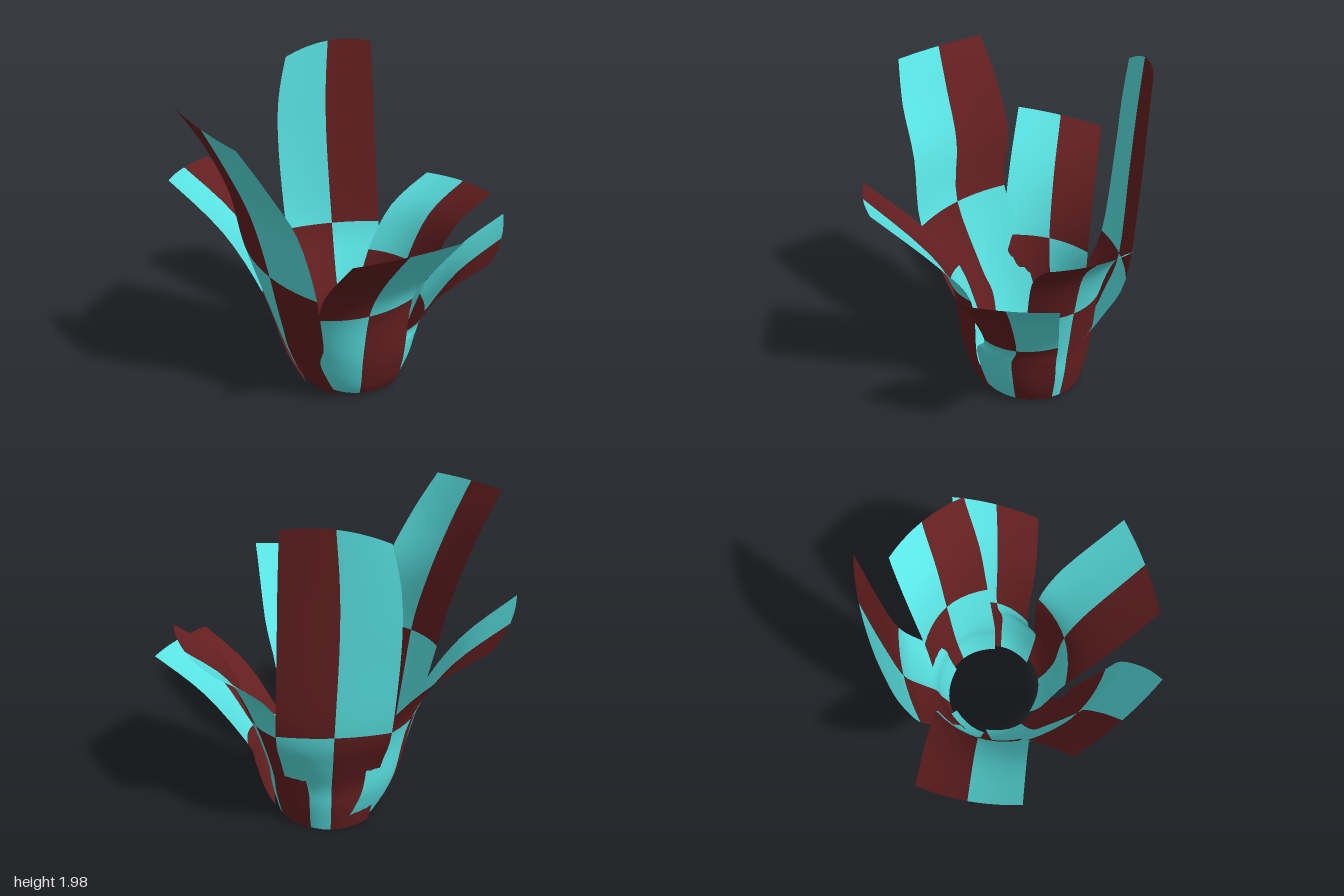
import * as THREE from 'three';

const CENTRE = { x: 0.045, z: -0.165 }; // axis the leaves grow around
const ACROSS = 10, STEPS = 4;
const rad = THREE.MathUtils.degToRad;

// Cup-shaped foot shared by all leaves: [flare, y, half width]
const FOOT_RADIUS = 0.305, FOOT_TWIST = 4;
const FOOT = [[0, 0.02, 0.22], [0.045, 0.1, 0.235], [0.085, 0.2, 0.25], [0.125, 0.34, 0.26]];

const spline = (a, b, c, d, t) => 0.5 * (2 * b + (c - a) * t
  + (2 * a - 5 * b + 4 * c - d) * t * t + (3 * b - a - 3 * c + d) * t * t * t);

// Point across a row: [bearing, radius, y, facing, half width, sag, lift, dip]
function pointOnRow([bearing, r, y, facing, half, sag, lift, dip], s) {
  const b = rad(bearing), f = rad(facing), inward = sag * s * s;
  return [
    CENTRE.x + Math.sin(b) * r + Math.cos(f) * half * s - Math.sin(f) * inward,
    y + lift * s - dip * s * s,
    CENTRE.z + Math.cos(b) * r - Math.sin(f) * half * s - Math.cos(f) * inward,
  ];
}

// Curved leaf strip with a two by two colour check
function leafGeometry({ bearing, flare, offset = 0, narrow = 0, drop = 0, lower, upper }) {
  const foot = FOOT.map(([out, y, w], i) => {
    const r = FOOT_RADIUS + offset + out * flare, half = w - narrow;
    return [bearing, r, y + (i === 0 ? drop : 0), bearing - FOOT_TWIST, half, r - Math.sqrt(r * r - half * half), 0];
  });
  const rows = [...foot, ...lower, ...upper].map((r) => (r.length < 8 ? [...r, 0] : r));
  const splitRow = (foot.length + lower.length - 1) * STEPS;
  const total = (rows.length - 1) * STEPS;
  const pos = [], index = [];
  for (let i = 0; i <= total; i++) {
    const k = Math.min(Math.floor(i / STEPS), rows.length - 2), t = i / STEPS - k;
    const at = (n) => rows[THREE.MathUtils.clamp(n, 0, rows.length - 1)];
    const row = rows[k].map((v, c) => spline(at(k - 1)[c], v, at(k + 1)[c], at(k + 2)[c], t));
    for (let j = 0; j <= ACROSS; j++) pos.push(...pointOnRow(row, (j / ACROSS) * 2 - 1));
  }
  const geo = new THREE.BufferGeometry();
  for (const top of [0, 1]) {
    for (const side of [0, 1]) {
      const start = index.length;
      for (let i = top ? splitRow : 0; i < (top ? total : splitRow); i++) {
        for (let j = side * ACROSS / 2; j < (side + 1) * ACROSS / 2; j++) {
          const a = i * (ACROSS + 1) + j, c = a + ACROSS + 1;
          index.push(a, a + 1, c, a + 1, c + 1, c);
        }
      }
      geo.addGroup(start, index.length - start, top === side ? 0 : 1);
    }
  }
  geo.setAttribute('position', new THREE.Float32BufferAttribute(pos, 3));
  geo.setIndex(index);
  geo.computeVertexNormals();
  return geo;
}

export function createModel() {
  const group = new THREE.Group();
  group.name = 'plant';
  const cyan = new THREE.MeshStandardMaterial({ color: 0x5ae4e4, side: THREE.DoubleSide });
  cyan.name = 'cyan';
  const maroon = new THREE.MeshStandardMaterial({ color: 0x641f20, side: THREE.DoubleSide });
  maroon.name = 'maroon';

  const addLeaf = (name, spec) => {
    const mesh = new THREE.Mesh(leafGeometry(spec), [cyan, maroon]);
    mesh.name = name;
    group.add(mesh);
  };

  addLeaf('frontLeaf', {
    bearing: 0, flare: 0.85, drop: 0.01,
    lower: [[3, 0.465, 0.67, 4, 0.278, 0.08, 0.035]],
    upper: [[6, 0.62, 0.93, 6, 0.303, 0.05, 0.03], [8.3, 0.94, 1.285, 6, 0.288, 0.02, 0.03]],
  });

  addLeaf('leftFrontLeaf', {
    bearing: 69, flare: 0.82, narrow: 0.02,
    lower: [[74, 0.45, 0.45, 66, 0.218, 0.08, 0.02]],
    upper: [[74, 0.64, 0.75, 65, 0.25, 0.05, 0.03], [75.2, 0.884, 0.98, 65, 0.27, 0.025, 0.033]],
  });

  addLeaf('leftBackLeaf', {
    bearing: 121, flare: 0.45, narrow: 0.01, drop: -0.01,
    lower: [[117, 0.44, 0.655, 121, 0.265, 0.09, 0]],
    upper: [[112, 0.57, 0.96, 119, 0.28, 0.07, -0.02], [108, 0.784, 1.155, 118, 0.284, 0.045, -0.025]],
  });

  addLeaf('backLeaf', {
    bearing: 184, flare: 0.52, offset: 0.006, drop: -0.02,
    lower: [[184, 0.455, 0.54, 182, 0.28, 0.07, 0], [184, 0.537, 0.79, 182, 0.305, 0.035, 0]],
    upper: [[186, 0.572, 1.3, 181, 0.308, 0.015, 0], [186, 0.592, 1.65, 181, 0.295, 0.015, -0.02],
      [184, 0.61, 1.975, 181, 0.26, 0.02, -0.037, 0.045]],
  });

  addLeaf('rightBackLeaf', {
    bearing: 245, flare: 1.1, drop: -0.02,
    lower: [[249, 0.51, 0.68, 240, 0.288, 0.08, 0]],
    upper: [[251, 0.71, 1.04, 243, 0.285, 0.05, 0.02], [252, 1.0, 1.335, 246, 0.28, 0.03, 0.035]],
  });

  addLeaf('rightFrontLeaf', {
    bearing: 294, flare: 1.22,
    lower: [[300, 0.52, 0.52, 297, 0.285, 0.09, -0.02], [307, 0.657, 0.94, 303, 0.318, 0.07, -0.05]],
    upper: [[302.5, 0.722, 1.3, 298, 0.335, 0.07, -0.01], [301, 0.845, 1.6, 296, 0.325, 0.05, -0.02],
      [299.6, 0.963, 1.845, 299, 0.29, 0.02, -0.03]],
  });

  return group;
}
